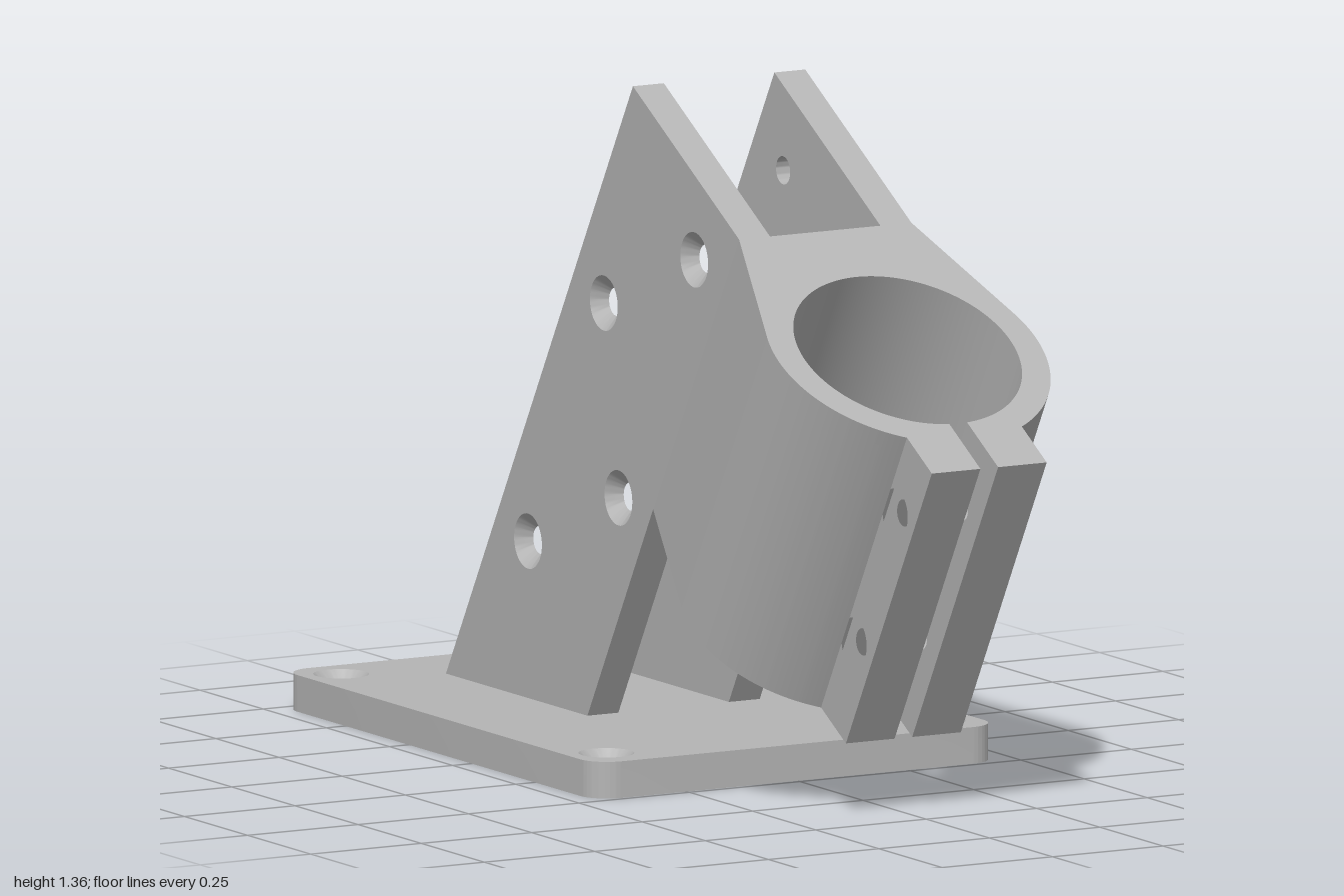
import * as THREE from 'three';
import { toCreasedNormals, mergeGeometries } from 'three/addons/utils/BufferGeometryUtils.js';

const TILT = Math.PI / 6;      // lean of the clamp
const HEIGHT = 0.68;           // clamp length along its axis
const ARM_DEPTH = 0.485;       // depth of the support arms
const BORE = 0.232, WALL = 0.29, CENTRE = 0.862;
const SLIT = 0.02, LUG_X = 0.13, LUG_START = 1.105, LUG_END = 1.235;

const extrude = (shape, depth, curveSegments = 32) =>
  new THREE.ExtrudeGeometry(shape, { depth, bevelEnabled: false, curveSegments });

const polygon = (points) => new THREE.Shape(points.map(([x, y]) => new THREE.Vector2(x, y)));

// Plate in XY with screw holes recessed on its +z face, as cones or flat counterbores
function drilledPlate(makeOutline, holes, thickness, { wide, narrow, sink, cone }) {
  const layer = (radius, depth, z) => {
    const shape = makeOutline();
    for (const [x, y] of holes) {
      shape.holes.push(new THREE.Path().absarc(x, y, radius, 0, Math.PI * 2, true));
    }
    return extrude(shape, depth, 24).translate(0, 0, z);
  };
  const parts = [layer(narrow, thickness - sink, 0), layer(wide, sink, thickness - sink)];
  if (cone) {
    for (const [x, y] of holes) {
      // Profile runs downwards so the funnel faces its own axis
      const funnel = new THREE.LatheGeometry(
        [new THREE.Vector2(wide, sink), new THREE.Vector2(narrow, 0)], 48);
      funnel.rotateX(Math.PI / 2).translate(x, y, thickness - sink);
      parts.push(funnel.toNonIndexed());
    }
  }
  return toCreasedNormals(mergeGeometries(parts), 0.5);
}

function roundedRect(x0, y0, x1, y1, r) {
  const s = new THREE.Shape();
  s.absarc(x1 - r, y1 - r, r, 0, Math.PI / 2);
  s.absarc(x0 + r, y1 - r, r, Math.PI / 2, Math.PI);
  s.absarc(x0 + r, y0 + r, r, Math.PI, Math.PI * 1.5);
  s.absarc(x1 - r, y0 + r, r, Math.PI * 1.5, Math.PI * 2);
  return s;
}

// Split collar with tangent flanks running back to the arms
function collarShape() {
  const s = new THREE.Shape();
  const lugAngle = Math.acos(LUG_X / WALL);
  const dx = 0.195, dy = ARM_DEPTH - CENTRE;
  const tangent = Math.atan2(dy, dx) + Math.acos(WALL / Math.hypot(dx, dy));
  const slit = Math.asin(SLIT / BORE);
  s.moveTo(SLIT, LUG_START);
  s.lineTo(LUG_X, LUG_START);
  s.absarc(0, CENTRE, WALL, lugAngle, tangent, true);
  s.lineTo(dx, ARM_DEPTH);
  s.lineTo(-dx, ARM_DEPTH);
  s.absarc(0, CENTRE, WALL, Math.PI - tangent, Math.PI - lugAngle, true);
  s.lineTo(-LUG_X, LUG_START);
  s.lineTo(-SLIT, LUG_START);
  s.absarc(0, CENTRE, BORE, Math.PI / 2 + slit, Math.PI * 2.5 - slit, false);
  return s;
}

// Split ring that narrows the lower end of the bore
function lipShape() {
  const s = new THREE.Shape();
  const inner = 0.212, outer = BORE + 0.004;
  const a = Math.asin(SLIT / outer), b = Math.asin(SLIT / inner);
  s.absarc(0, CENTRE, outer, Math.PI / 2 + a, Math.PI * 2.5 - a, false);
  s.absarc(0, CENTRE, inner, Math.PI * 2.5 - b, Math.PI / 2 + b, true);
  return s;
}

export function createModel() {
  const model = new THREE.Group();
  const grey = new THREE.MeshStandardMaterial({ color: 0xb4b4b4 });
  grey.name = 'plain grey';
  const add = (parent, name, geometry) => {
    const mesh = new THREE.Mesh(geometry, grey);
    mesh.name = name;
    parent.add(mesh);
  };
  const screw = { wide: 0.055, narrow: 0.028, sink: 0.028, cone: true };
  const bolt = { wide: 0.05, narrow: 0.027, sink: 0.02, cone: false };

  // Base plate with a countersunk hole near each corner
  const corners = [[-0.375, 0.91], [0.375, 0.91], [-0.375, -0.14], [0.375, -0.14]];
  add(model, 'basePlate', drilledPlate(
    () => roundedRect(-0.457, -0.24, 0.457, 1, 0.06), corners, 0.073, screw).rotateX(-Math.PI / 2));

  // Tilted part: local y runs along the clamp axis, local z away from the back edge
  const bracket = new THREE.Group();
  bracket.name = 'tiltedBracket';
  bracket.position.set(0, 1.355, -0.07);
  bracket.rotation.x = TILT;
  model.add(bracket);

  const collar = extrude(collarShape(), HEIGHT, 64).rotateX(Math.PI / 2);
  add(bracket, 'clampCollar', toCreasedNormals(collar, 0.5));
  const lip = extrude(lipShape(), 0.03, 64).rotateX(Math.PI / 2).translate(0, 0.03 - HEIGHT, 0);
  add(bracket, 'boreLip', toCreasedNormals(lip, 0.5));

  // Arms end level with the top of the base plate
  const footAt = (u) => (0.073 - 1.355 + u * Math.sin(TILT)) / Math.cos(TILT);

  for (const side of [1, -1]) {
    const label = side > 0 ? 'left' : 'right';
    const place = (geometry, x) => geometry.rotateY(side * Math.PI / 2).translate(side * x, 0, 0);

    // Support arm, its screws staggered against the opposite arm
    const armHoles = [0, 1, 2, 3].map((i) => {
      const nearBack = (i % 2 === 0) === (side > 0);
      return [-side * (nearBack ? 0.125 : 0.365), -0.147 - 0.3 * i];
    });
    const arm = () => polygon([[0, 0], [-side * ARM_DEPTH, 0],
      [-side * ARM_DEPTH, footAt(ARM_DEPTH)], [0, footAt(0)]]);
    add(bracket, label + 'Arm', place(drilledPlate(arm, armHoles, 0.07, screw), 0.125));

    // Clamping lug with two counterbored bolt holes
    const lugHoles = [[-side * 1.16, -0.161], [-side * 1.16, -0.486]];
    const lug = () => polygon([[-side * LUG_START, 0], [-side * LUG_END, 0],
      [-side * LUG_END, -HEIGHT], [-side * LUG_START, -HEIGHT]]);
    add(bracket, label + 'Lug', place(drilledPlate(lug, lugHoles, LUG_X - SLIT, bolt), SLIT));
  }
  return model;
}
